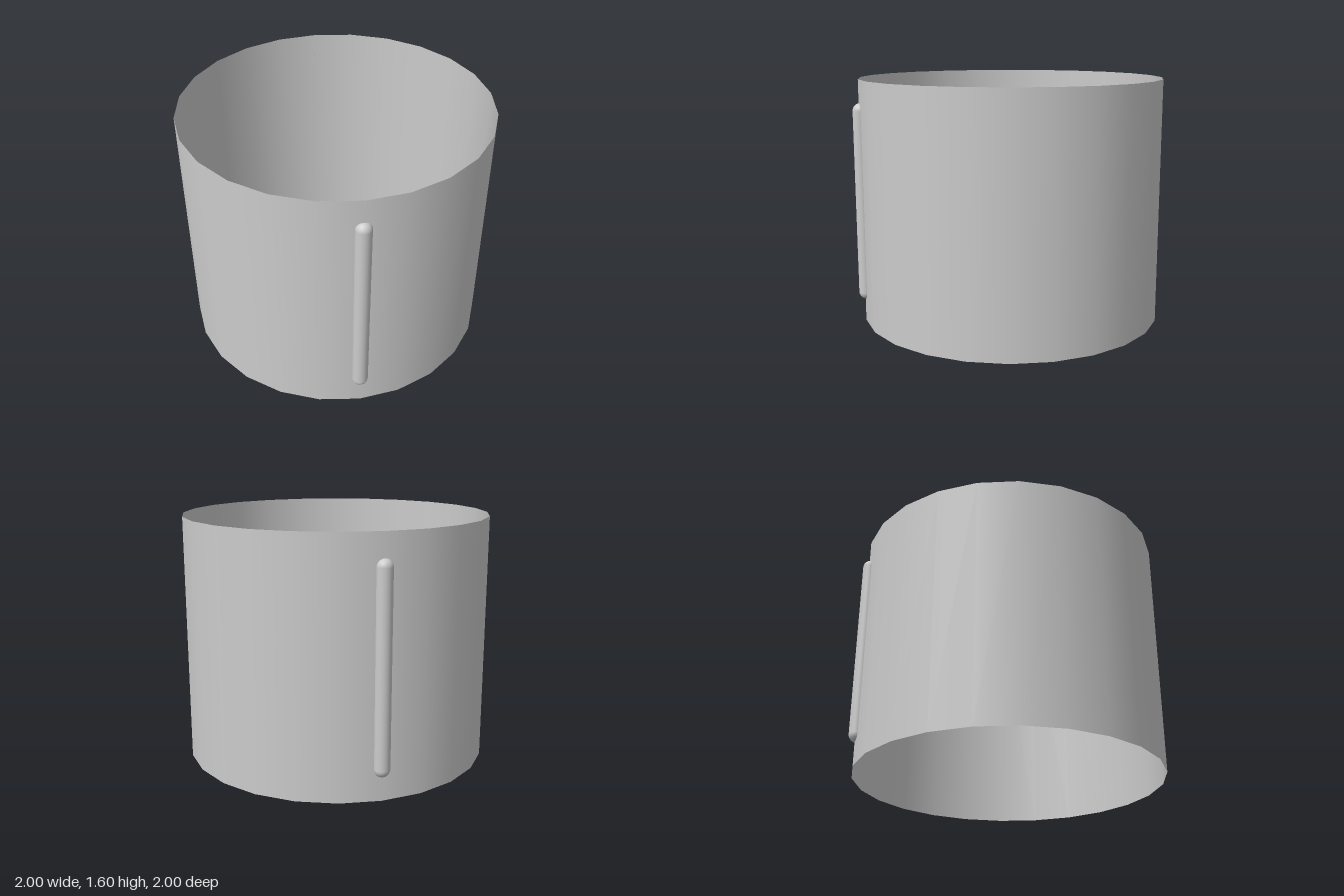
import * as THREE from 'three';

const SIDES = 24, HEIGHT = 1.6;

// Upright half-capsule bar whose open back is trimmed to the faceted wall.
function makeBar(material) {
  const radius = 0.05, bottom = 0.15, top = 1.45, centre = 0.99;
  const profile = [];
  for (const [y, start] of [[bottom + radius, -Math.PI / 2], [top - radius, 0]]) {
    for (let i = 0; i <= 8; i++) {
      const a = start + (i / 8) * Math.PI / 2;
      profile.push(new THREE.Vector2(Math.max(0, radius * Math.cos(a)), y + radius * Math.sin(a)));
    }
  }
  const geometry = new THREE.LatheGeometry(profile, 16, -Math.PI / 2, Math.PI);
  const pos = geometry.attributes.position;
  const slope = Math.tan(Math.PI / SIDES);
  for (let i = 0; i < pos.count; i++) {
    const wall = 1 - Math.abs(pos.getX(i)) * slope - centre;
    pos.setZ(i, Math.max(pos.getZ(i), wall));
  }
  geometry.translate(0, 0, centre);
  return new THREE.Mesh(geometry, material);
}

export function createModel() {
  const group = new THREE.Group();
  const material = new THREE.MeshStandardMaterial({ color: 0xcccccc, side: THREE.DoubleSide });

  // Thin open sleeve
  const sleeve = new THREE.Mesh(
    new THREE.CylinderGeometry(1, 1, HEIGHT, SIDES, 1, true), material);
  sleeve.position.y = HEIGHT / 2;
  sleeve.name = 'sleeve';
  group.add(sleeve);

  // Two opposite bars on the diagonal
  for (const [name, angle] of [['frontBar', Math.PI / 4], ['backBar', Math.PI * 5 / 4]]) {
    const bar = makeBar(material);
    bar.rotation.y = angle;
    bar.name = name;
    group.add(bar);
  }
  return group;
}
